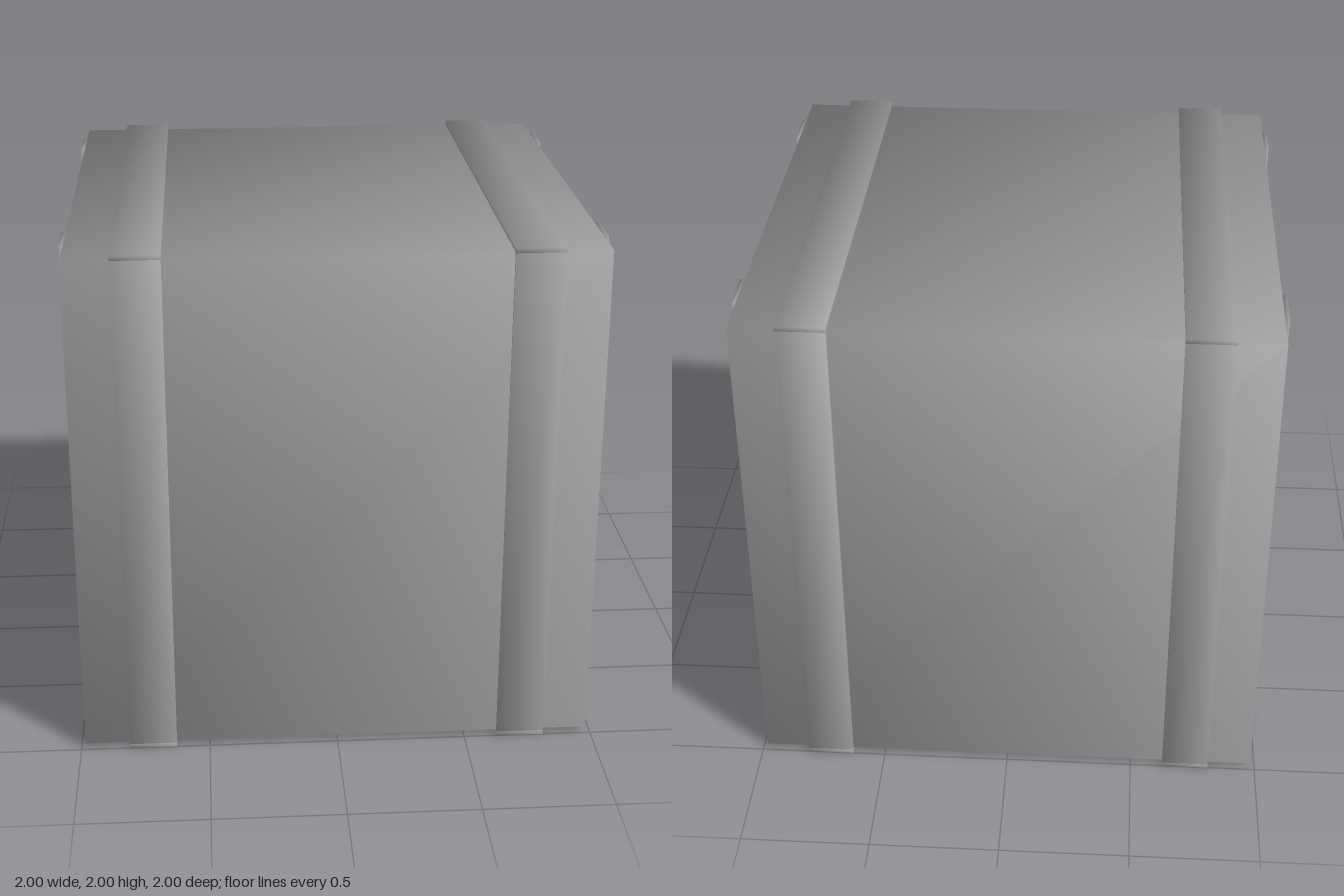
import * as THREE from 'three';

const CORE = 0.983;   // half size of the crate body
const OUT = 1;        // half size over the planks
const THICK = OUT - CORE;
const MID = (OUT + CORE) / 2;
const PLANK = 0.183;  // plank width
const OFFSET = 0.72;  // plank centre from the middle

// Box with sides and top shaded softly into each other and a flat underside.
function softBox(width, height, depth) {
  const geometry = new THREE.BoxGeometry(width, height, depth);
  const { position, normal } = geometry.attributes;
  const n = new THREE.Vector3();
  for (let i = 0; i < position.count; i++) {
    if (normal.getY(i) < -0.5) continue;
    n.fromBufferAttribute(position, i);
    n.set(Math.sign(n.x), Math.max(0, Math.sign(n.y)), Math.sign(n.z)).normalize();
    normal.setXYZ(i, n.x, n.y, n.z);
  }
  return geometry;
}

export function createModel() {
  const group = new THREE.Group();
  const material = new THREE.MeshStandardMaterial({ color: 0x999999 });

  function add(name, size, x, y, z) {
    const mesh = new THREE.Mesh(softBox(...size), material);
    mesh.name = name;
    mesh.position.set(x, y, z);
    group.add(mesh);
  }

  // Crate body
  add('crateBody', [2 * CORE, 2 * CORE, 2 * CORE], 0, 1, 0);

  for (const [side, s] of [['left', 1], ['right', -1]]) {
    // Planks running along the top and bottom
    for (const [level, v] of [['Top', 1], ['Bottom', -1]]) {
      add(side + level + 'Plank', [PLANK, THICK, 2 * OUT], s * OFFSET, 1 + v * MID, 0);
    }
    // Upright planks on the front and back, and on the side wall
    for (const [end, e] of [['Front', 1], ['Back', -1]]) {
      add(side + end + 'Plank', [PLANK, 2 * CORE, THICK], s * OFFSET, 1, e * MID);
      add(side + end + 'Batten', [THICK, 2 * CORE, PLANK], s * MID, 1, e * OFFSET);
    }
  }

  return group;
}
